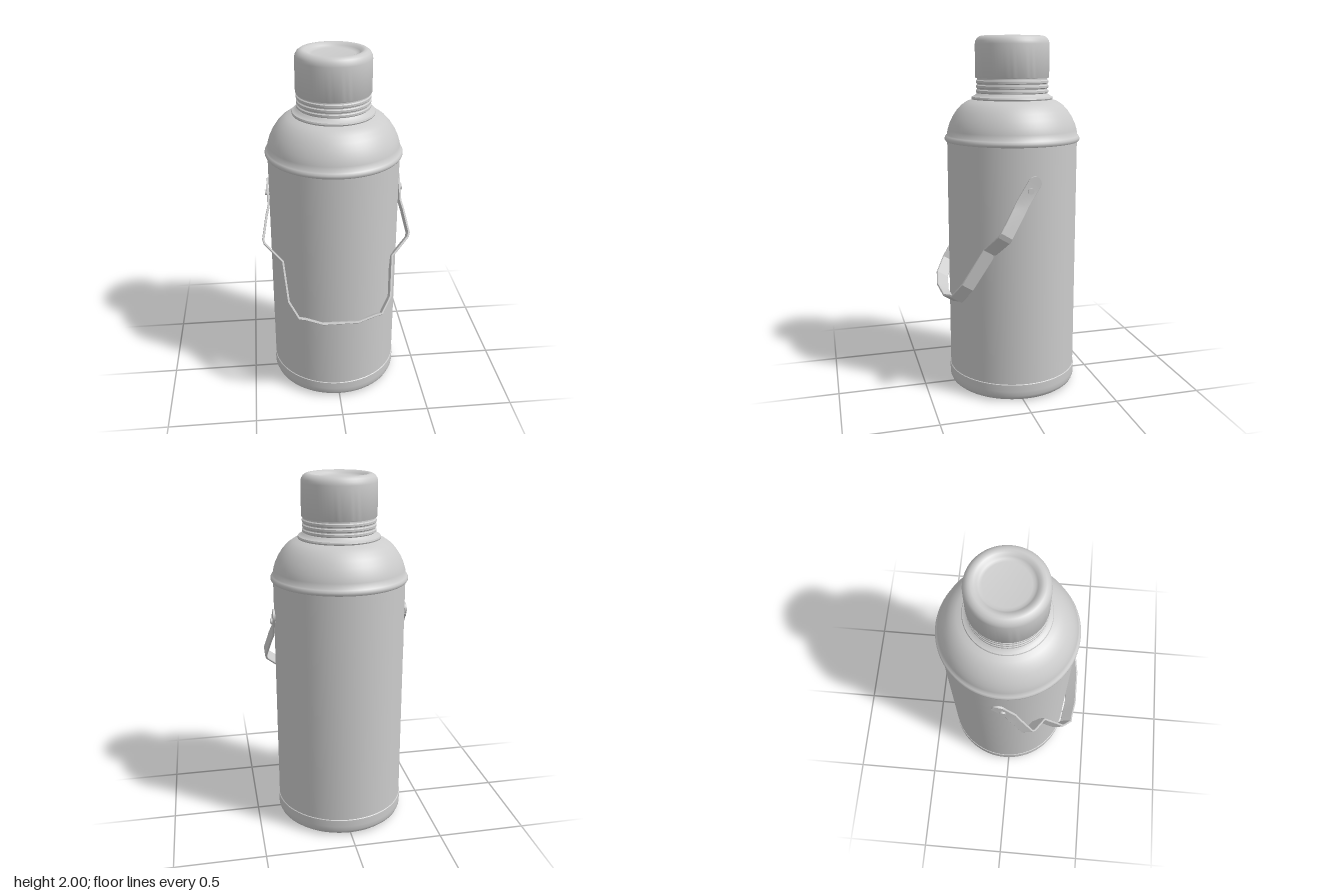
import * as THREE from 'three';
import { toCreasedNormals } from 'three/addons/utils/BufferGeometryUtils.js';

const AXIS_Z = -0.028; // flask axis; the handle reaches forward of it
const material = new THREE.MeshStandardMaterial({ color: 0xcccccc, side: THREE.DoubleSide });

function named(name, geometry, parent) {
  const mesh = new THREE.Mesh(geometry, material);
  mesh.name = name;
  parent.add(mesh);
  return mesh;
}

// Revolved part; profile is [radius, y] from bottom to top
function turned(name, profile, parent) {
  const points = profile.map(([r, y]) => new THREE.Vector2(r, y));
  return named(name, toCreasedNormals(new THREE.LatheGeometry(points, 72), 0.75), parent);
}

// Closed outline around a centre line, with mitred corners
function stripShape(path, thickness) {
  const pts = path.map(([x, y]) => new THREE.Vector2(x, y));
  const normal = (a, b) => {
    const d = b.clone().sub(a).normalize();
    return new THREE.Vector2(-d.y, d.x);
  };
  const offsets = pts.map((p, i) => {
    const n1 = normal(pts[Math.max(i - 1, 0)], pts[Math.max(i, 1)]);
    const last = pts.length - 1;
    const n2 = normal(pts[Math.min(i, last - 1)], pts[Math.min(i + 1, last)]);
    const m = n1.clone().add(n2).normalize();
    return m.multiplyScalar(thickness / 2 / m.dot(n1));
  });
  const outer = pts.map((p, i) => p.clone().add(offsets[i]));
  const inner = pts.map((p, i) => p.clone().sub(offsets[i]));
  return new THREE.Shape([...outer, ...inner.reverse()]);
}

export function createModel() {
  const model = new THREE.Group();
  model.name = 'vacuumFlask';

  const flask = new THREE.Group();
  flask.name = 'flask';
  flask.position.z = AXIS_Z;
  model.add(flask);

  // Base cup with a recessed underside
  turned('base', [
    [0, 0.045], [0.235, 0.045], [0.25, 0.035], [0.275, 0.012], [0.3, 0.002], [0.325, 0],
    [0.348, 0.006], [0.362, 0.018], [0.369, 0.035], [0.37, 0.06], [0.37, 0.1], [0.366, 0.103],
  ], flask);

  turned('body', [[0.366, 0.09], [0.366, 1.44]], flask);

  // Domed shoulder with a rolled rim
  turned('shoulder', [
    [0.362, 1.425], [0.374, 1.427], [0.38, 1.435], [0.38, 1.446], [0.374, 1.457], [0.367, 1.463],
    [0.363, 1.49], [0.352, 1.525], [0.335, 1.56], [0.312, 1.595], [0.285, 1.624],
    [0.255, 1.645], [0.222, 1.657],
  ], flask);

  // Collar and ribbed neck
  const neck = [[0.215, 1.652], [0.224, 1.655], [0.228, 1.663], [0.225, 1.671], [0.212, 1.676], [0.203, 1.684]];
  for (let i = 0; i < 3; i++) {
    const y = 1.69 + i * 0.026;
    neck.push([0.196, y], [0.202, y + 0.005], [0.202, y + 0.016], [0.196, y + 0.021]);
  }
  neck.push([0.194, 1.78]);
  turned('neck', neck, flask);

  // Cup lid with rounded edge and dished top
  turned('cupLid', [
    [0.19, 1.772], [0.203, 1.772], [0.206, 1.778], [0.206, 1.955], [0.203, 1.972], [0.194, 1.987],
    [0.18, 1.997], [0.166, 2], [0.152, 1.996], [0.14, 1.985], [0.13, 1.977], [0.115, 1.975], [0, 1.975],
  ], flask);

  // Swinging handle: a bent strap hanging from two pivots, tilted forward
  const handle = new THREE.Group();
  handle.name = 'handle';
  handle.position.set(0, 1.2, -0.025);
  handle.rotation.x = -0.55;
  model.add(handle);

  const WIDTH = 0.074, THICK = 0.012;
  const half = [
    [0.373, 0.045], [0.373, -0.08], [0.386, -0.13], [0.411, -0.265], [0.404, -0.29],
    [0.308, -0.395], [0.286, -0.62], [0.232, -0.715], [0.195, -0.722], [0.1, -0.754],
  ];
  const path = [...half, ...half.map(([x, y]) => [-x, y]).reverse()];
  const strap = new THREE.ExtrudeGeometry(stripShape(path, THICK), {
    depth: WIDTH - 0.006, bevelEnabled: true, bevelSize: 0.002, bevelOffset: -0.002,
    bevelThickness: 0.003, bevelSegments: 1,
  });
  strap.translate(0, 0, -WIDTH / 2 + 0.003);
  named('strap', toCreasedNormals(strap, 0.4), handle);

  for (const side of [1, -1]) {
    const sideName = side > 0 ? 'left' : 'right';
    // Rounded end of the strap
    const end = new THREE.CylinderGeometry(WIDTH / 2, WIDTH / 2, THICK, 24, 1, false, 0, Math.PI);
    end.rotateY(Math.PI / 2).rotateX(Math.PI / 2).rotateY(Math.PI / 2);
    end.computeBoundingBox();
    if (end.boundingBox.max.y < 0.01) end.rotateX(Math.PI);
    named(sideName + 'StrapEnd', end, handle).position.set(side * 0.373, 0.045, 0);
    // Pivot rivet
    const rivet = new THREE.CylinderGeometry(0.016, 0.016, 0.04, 20);
    rivet.rotateZ(Math.PI / 2);
    named(sideName + 'Rivet', rivet, handle).position.set(side * 0.37, 0, 0);
  }
  return model;
}
